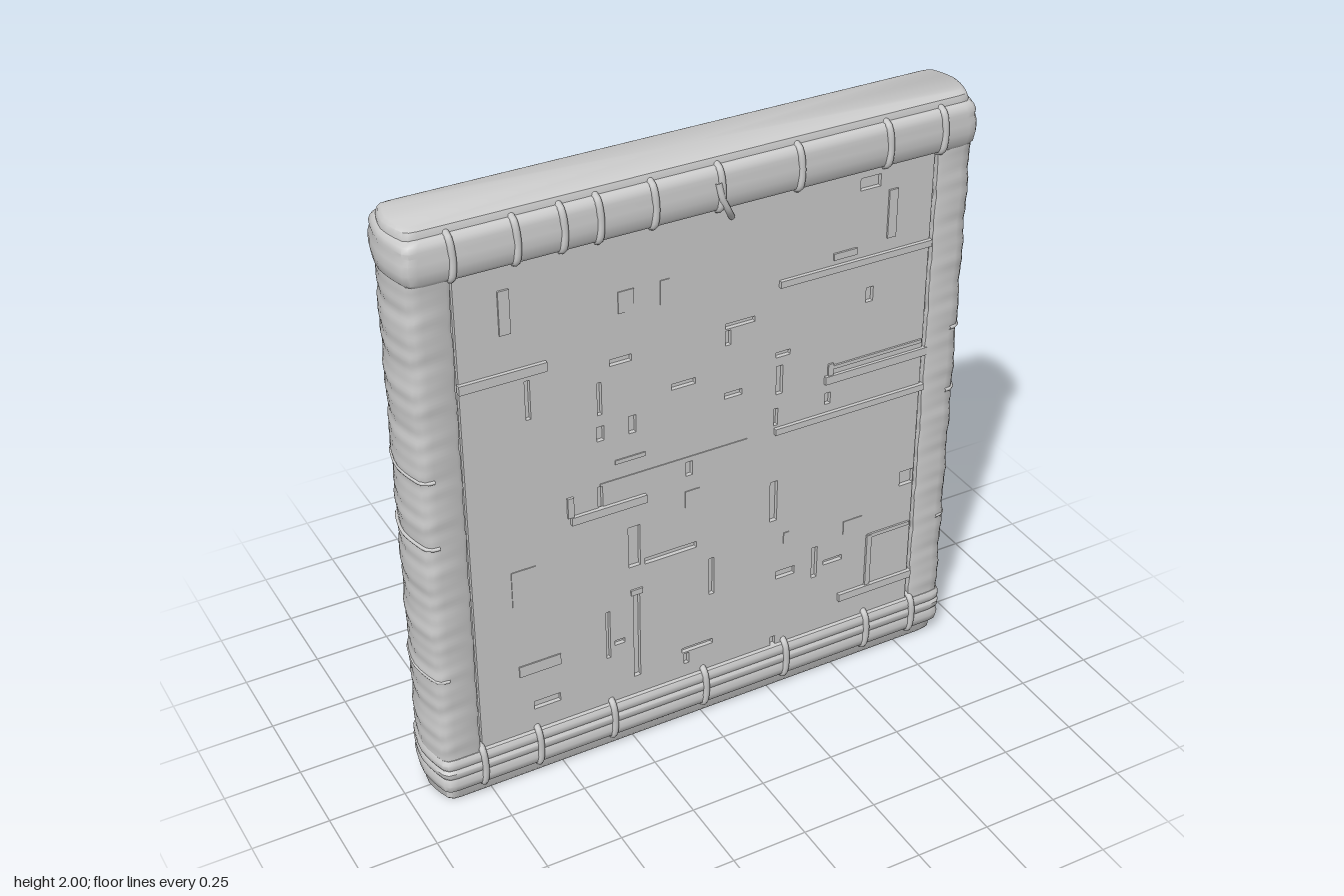
import * as THREE from 'three';
import { toCreasedNormals } from 'three/addons/utils/BufferGeometryUtils.js';

const grey = new THREE.MeshStandardMaterial({ color: 0xcccccc, side: THREE.DoubleSide });

// Irregular hand-made unevenness, about -1..1
const wobble = (a, b = 0) =>
  0.4 * Math.sin(a * 31 + b * 3) + 0.35 * Math.sin(a * 67 + b * 5 + 1) + 0.25 * Math.sin(a * 113 + 2 - b * 7);

// Rounded end of the plan outline, running from front (+z) to back (-z)
function endCurve(hx, hz) {
  const half = [[0.06, 1], [0.035, 0.97], [0.022, 0.86], [0.012, 0.6], [0.004, 0.3]];
  const pts = half.map(([d, f]) => [Math.max(hx - d, 0), hz * f]);
  return [...pts, [hx, 0], ...pts.map(([x, z]) => [x, -z]).reverse()];
}

// Full plan outline of the slab
function ring(hx, hz) {
  const e = endCurve(hx, hz);
  return [...e, ...e.map(([x, z]) => [-x, -z])];
}

// Skin over a stack of plan outlines, rows = [{ y, pts }] from bottom to top
function loft(rows, closed) {
  const n = rows[0].pts.length, pos = [], idx = [];
  rows.forEach(({ y, pts }) => pts.forEach(([x, z]) => pos.push(x, y, z)));
  for (let i = 0; i < rows.length - 1; i++) {
    for (let j = 0; j < (closed ? n : n - 1); j++) {
      const k = (j + 1) % n, a = i * n + j, b = i * n + k;
      idx.push(a, b, b + n, a, b + n, a + n);
    }
  }
  const g = new THREE.BufferGeometry();
  g.setAttribute('position', new THREE.Float32BufferAttribute(pos, 3));
  g.setIndex(idx);
  return toCreasedNormals(g, 0.7);
}

const stack = (list) => loft(list.map(([y, hx, hz]) => ({ y, pts: ring(hx, hz) })), true);

export function createModel() {
  const root = new THREE.Group();
  const add = (name, geo, parent = root) => {
    const m = new THREE.Mesh(geo, grey);
    m.name = name;
    parent.add(m);
    return m;
  };
  const group = (name) => {
    const g = new THREE.Group();
    g.name = name;
    root.add(g);
    return g;
  };
  const box = (name, x, y, z, w, h, d, parent) =>
    add(name, new THREE.BoxGeometry(w, h, d), parent).position.set(x, y, z);

  // Inner slab and the end blocks showing above and below the wrapping
  box('core', 0, 1, 0, 1.64, 1.9, 0.196);
  add('topBlock', stack([[1.9, 0.92, 0.106], [1.975, 0.92, 0.106], [1.992, 0.915, 0.1], [2, 0.905, 0.085], [2, 0, 0]]));
  add('bottomBlock', stack([[0, 0, 0], [0, 0.91, 0.098], [0.012, 0.918, 0.106], [0.1, 0.92, 0.106]]));

  // Padded wraps along the top and bottom edges
  add('topBand', stack([
    [1.835, 0.9, 0.1], [1.838, 0.925, 0.124], [1.85, 0.934, 0.131], [1.88, 0.938, 0.135], [1.91, 0.937, 0.135],
    [1.93, 0.932, 0.131], [1.945, 0.934, 0.131], [1.96, 0.929, 0.126], [1.97, 0.92, 0.117], [1.973, 0.9, 0.1]]));
  add('bottomBand', stack([
    [0.045, 0.9, 0.1], [0.047, 0.92, 0.118], [0.056, 0.93, 0.127], [0.08, 0.934, 0.132], [0.098, 0.93, 0.128],
    [0.104, 0.928, 0.126], [0.115, 0.934, 0.132], [0.13, 0.935, 0.133], [0.14, 0.929, 0.126], [0.15, 0.934, 0.131],
    [0.165, 0.934, 0.131], [0.178, 0.928, 0.124], [0.182, 0.9, 0.1]]));

  // Rippled wraps around the two long edges
  const rows = [];
  for (let i = 0; i <= 150; i++) {
    const y = 0.12 + (1.76 * i) / 150;
    const c = endCurve(0.929 + 0.004 * wobble(y), 0.123 + 0.003 * wobble(y, 2));
    const inner = 0.786 + 0.003 * wobble(y, 4);
    rows.push({ y, pts: [[inner, 0.095], [inner, 0.117], [inner + 0.012, 0.122], ...c,
      [inner + 0.012, -0.122], [inner, -0.117], [inner, -0.095]] });
  }
  add('leftEdgeWrap', loft(rows, false));
  add('rightEdgeWrap', loft(rows, false)).rotation.y = Math.PI;

  // Front panel with sunken slots: x, y, width, height
  const slots = [
    [-0.24, 0.757, 0.04, 0.15], [-0.115, 0.688, 0.18, 0.022], [0.25, 0.755, 0.026, 0.15], [0.03, 0.545, 0.018, 0.14],
    [-0.235, 0.41, 0.022, 0.32], [-0.335, 0.45, 0.014, 0.18], [-0.295, 0.41, 0.035, 0.018], [-0.57, 1.385, 0.016, 0.13],
    [-0.275, 1.43, 0.07, 0.022], [-0.07, 1.287, 0.08, 0.02], [-0.345, 1.32, 0.014, 0.11], [-0.345, 1.2, 0.024, 0.05],
    [-0.24, 1.2, 0.024, 0.06], [0.26, 1.2, 0.022, 0.1], [0.27, 1.29, 0.05, 0.018], [0.12, 1.44, 0.1, 0.018],
    [0.08, 1.4, 0.018, 0.05], [0.57, 1.41, 0.025, 0.05], [0.1, 1.2, 0.06, 0.02], [-0.35, 0.97, 0.016, 0.09],
    [-0.05, 0.98, 0.022, 0.05], [0.26, 0.183, 0.018, 0.06], [0.41, 0.46, 0.02, 0.12], [0.48, 0.445, 0.07, 0.018],
    [0.3, 0.46, 0.07, 0.03], [-0.02, 0.285, 0.11, 0.018], [-0.06, 0.25, 0.018, 0.04], [-0.55, 0.275, 0.09, 0.03],
    [0.555, 1.79, 0.07, 0.04], [0.435, 1.08, 0.02, 0.04], [0.75, 0.68, 0.05, 0.055], [0.25, 1.07, 0.014, 0.06]];
  const corners = (x, y, w, h) => [[-1, -1], [1, -1], [1, 1], [-1, 1]]
    .map(([a, b]) => new THREE.Vector2(x + (a * w) / 2, y + (b * h) / 2));
  const sheet = new THREE.Shape(corners(0, 0.995, 1.552, 1.71));
  sheet.holes = slots.map((s) => new THREE.Path(corners(...s).reverse()));
  add('frontPanel', new THREE.ExtrudeGeometry(sheet, { depth: 0.016, bevelEnabled: false })).position.z = 0.096;

  // Raised straps and small plates on the front: x, y, width, height, rise
  const relief = group('frontRelief');
  [[-0.645, 1.485, 0.27, 0.03, 0.012], [0.515, 1.535, 0.53, 0.022, 0.012], [0.605, 1.15, 0.37, 0.028, 0.01],
    [0.515, 1.02, 0.54, 0.022, 0.012], [-0.325, 0.927, 0.25, 0.028, 0.012], [-0.45, 0.975, 0.02, 0.07, 0.008],
    [0.645, 0.285, 0.28, 0.028, 0.012], [0.615, 0.4, 0.018, 0.2, 0.008], [0.69, 0.495, 0.16, 0.014, 0.006],
    [0.6, 1.19, 0.34, 0.012, 0.006], [0.44, 1.18, 0.018, 0.05, 0.006], [0.475, 1.575, 0.08, 0.022, 0.006],
    [0.635, 1.67, 0.03, 0.16, 0.006], [-0.63, 1.69, 0.034, 0.14, 0.006], [-0.255, 1.62, 0.05, 0.07, 0.003],
    [-0.13, 1.615, 0.03, 0.08, 0.003], [-0.61, 0.74, 0.08, 0.13, 0.003], [-0.57, 0.425, 0.14, 0.04, 0.004],
    [-0.04, 0.87, 0.05, 0.06, 0.003], [-0.1, 1.02, 0.5, 0.01, 0.003], [0.55, 0.56, 0.07, 0.05, 0.003],
    [-0.25, 1.085, 0.1, 0.014, 0.004], [0.3, 0.6, 0.02, 0.04, 0.003], [-0.235, 0.585, 0.04, 0.02, 0.006],
  ].forEach(([x, y, w, h, d]) => box('strap', x, y, 0.11 + d / 2, w, h, d + 0.004, relief));

  // Back panel, creased where it is pulled toward the edges
  const back = new THREE.PlaneGeometry(1.552, 1.71, 40, 90);
  const p = back.attributes.position;
  for (let i = 0; i < p.count; i++) {
    const x = p.getX(i), y = p.getY(i);
    const pull = Math.pow(Math.abs(x) / 0.776, 3) * Math.exp(-y * y * 6);
    p.setZ(i, 0.004 * pull * wobble(y + 0.1 * x, x));
  }
  back.computeVertexNormals();
  const backPanel = add('backPanel', back);
  backPanel.rotation.y = Math.PI;
  backPanel.position.set(0, 0.995, -0.112);
  box('backPlate', -0.63, 1.65, -0.113, 0.034, 0.08, 0.01);

  // Bindings tied over the bands, front and back
  const bindings = group('bindings');
  const tie = (pts, r) => add('binding', new THREE.TubeGeometry(
    new THREE.CatmullRomCurve3(pts.map((v) => new THREE.Vector3(...v))), 16, r, 8), bindings);
  for (const s of [1, -1]) {
    [-0.78, -0.59, -0.45, -0.34, -0.17, 0.04, 0.3, 0.6, 0.79].forEach((x) => tie([
      [x, 1.972, s * 0.1], [x, 1.963, s * 0.123], [x + 0.004, 1.9, s * 0.133],
      [x, 1.845, s * 0.128], [x, 1.828, s * 0.1]], 0.011));
    [-0.78, -0.59, -0.33, 0, 0.3, 0.61, 0.79].forEach((x) => tie([
      [x, 0.042, s * 0.1], [x, 0.052, s * 0.122], [x + 0.004, 0.11, s * 0.131],
      [x, 0.178, s * 0.125], [x, 0.192, s * 0.1]], 0.011));
    // Loose knotted end hanging near the middle of the top band
    tie([[0.03, 1.93, s * 0.134], [0.04, 1.88, s * 0.139], [0.06, 1.84, s * 0.135], [0.085, 1.8, s * 0.115]], 0.01);
  }
  // Cords circling the edge wraps
  [0.49, 0.98, 1.21].forEach((y) => {
    for (const s of [1, -1]) {
      tie(endCurve(0.929, 0.122).map(([x, z]) => [s * x, y + 0.01 * z, z]), 0.006);
    }
  });

  return root;
}
